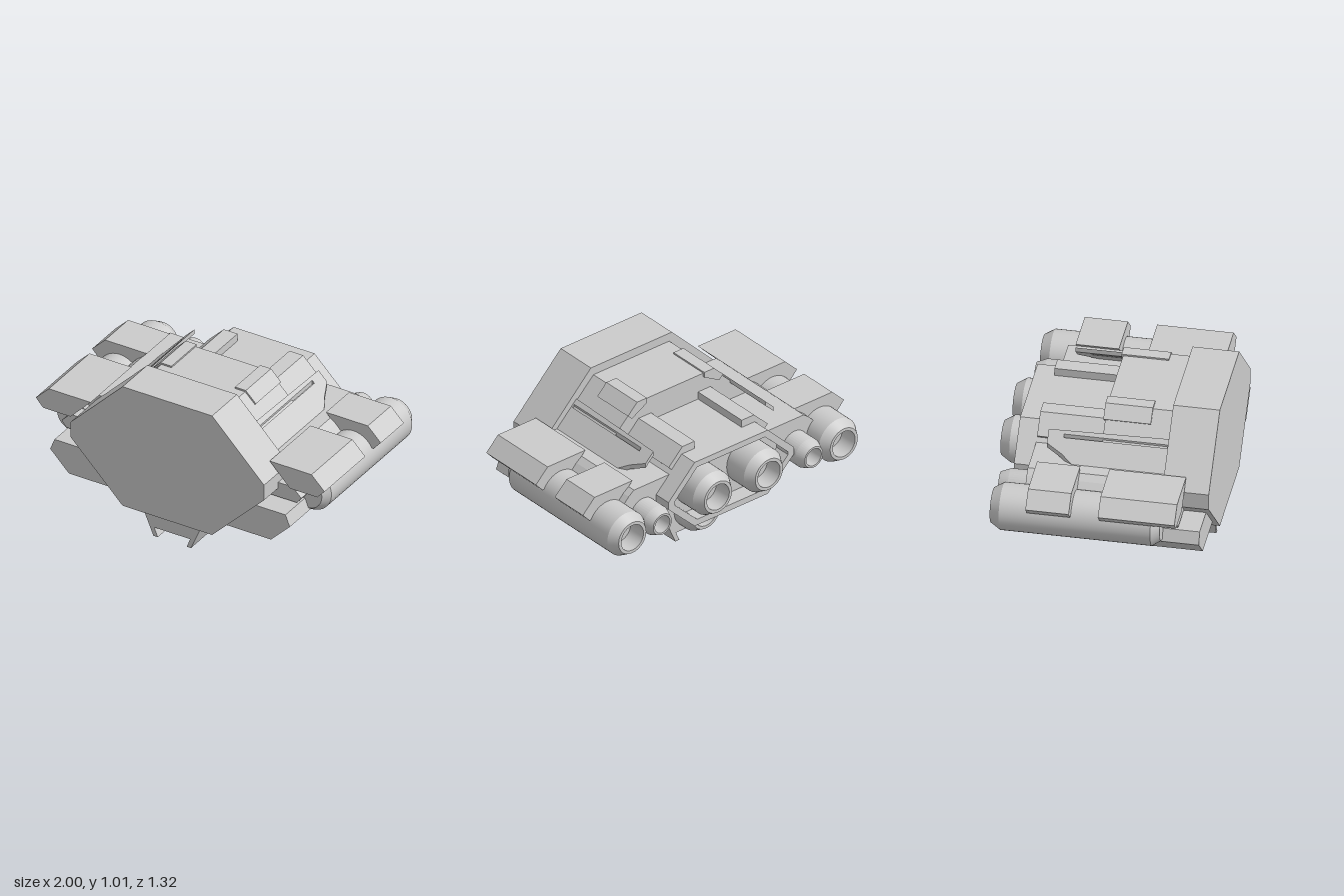
import * as THREE from 'three';
import { toCreasedNormals } from 'three/addons/utils/BufferGeometryUtils.js';

const material = new THREE.MeshStandardMaterial({ color: 0xcccccc, side: THREE.DoubleSide });

export function createModel() {
  const model = new THREE.Group();
  const add = (name, geometry) => {
    const mesh = new THREE.Mesh(geometry, material);
    mesh.name = name;
    model.add(mesh);
    return mesh;
  };
  const toShape = (points) => new THREE.Shape(points.map(([x, y]) => new THREE.Vector2(x, y)));

  // Front-view outline extended along z
  const prism = (name, points, z0, z1, hole) => {
    const shape = toShape(points);
    if (hole) shape.holes.push(toShape(hole));
    const geometry = new THREE.ExtrudeGeometry(shape, { depth: z1 - z0, bevelEnabled: false });
    return add(name, geometry.translate(0, 0, z0));
  };
  const flip = (points) => points.map(([x, y]) => [-x, y]);
  const pair = (name, points, z0, z1) => {
    prism('left' + name, points, z0, z1);
    prism('right' + name, flip(points), z0, z1);
  };

  // Symmetric octagon: half widths of flat and waist, four heights
  const octagon = (flat, waist, top, shoulder, hip, bottom) => [
    [-flat, bottom], [flat, bottom], [waist, hip], [waist, shoulder],
    [flat, top], [-flat, top], [-waist, shoulder], [-waist, hip],
  ];

  // Hull sections, the last one a hollow rim around the main engines
  prism('bowSlab', octagon(0.31, 0.67, 1.01, 0.645, 0.54, 0.18), 0.38, 0.66);
  prism('midHull', octagon(0.29, 0.62, 0.955, 0.63, 0.555, 0.23), -0.02, 0.38);
  const rear = octagon(0.28, 0.48, 0.79, 0.59, 0.54, 0.345);
  prism('rearHull', rear, -0.44, -0.02);
  prism('rearRim', rear, -0.545, -0.44, octagon(0.26, 0.435, 0.75, 0.575, 0.555, 0.385));

  // Raised bars wrapped over the hull corners
  pair('MidBar', [[0.22, 0.93], [0.22, 0.965], [0.295, 0.965], [0.365, 0.895], [0.335, 0.865]], -0.03, 0.255);
  pair('RearBar', [[0.18, 0.77], [0.18, 0.84], [0.275, 0.84], [0.38, 0.735], [0.335, 0.69]], -0.425, -0.02);

  // Wings that carry the side engines
  pair('Wing', [[0.3, 0.52], [0.3, 0.69], [0.65, 0.69], [0.69, 0.66], [0.745, 0.6], [0.745, 0.52]], -0.43, 0.38);

  // Armour pads over the outer engines
  const pad = [[0.62, 0.72], [0.91, 0.72], [1, 0.63], [0.95, 0.575], [0.76, 0.575]];
  pair('FrontPad', pad, 0.055, 0.515);
  pair('RearPad', pad, -0.38, -0.12);

  // Lower forward pods with the blocks above them
  pair('Pod', [[0.3, 0.26], [0.7, 0.26], [0.83, 0.39], [0.8, 0.465], [0.3, 0.465]], 0.12, 0.63);
  pair('PodBlock', [[0.5, 0.48], [0.8, 0.48], [0.83, 0.52], [0.77, 0.58], [0.5, 0.58]], 0.12, 0.5);

  // Keel with two thin runners
  prism('keel', [
    [-0.25, 0.28], [-0.13, 0], [-0.1, 0], [-0.125, 0.06],
    [0.125, 0.06], [0.1, 0], [0.13, 0], [0.25, 0.28],
  ], -0.185, 0.605);

  // Slotted plates lying on the 45 degree hull sides (outline as x, -z)
  const plate = [[0.42, -0.38], [0.6, -0.38], [0.6, 0.13], [0.53, 0.25], [0.49, 0.345], [0.43, 0.345]];
  const slot = [[0.445, -0.37], [0.46, -0.37], [0.46, 0.25], [0.445, 0.25]];
  for (const side of [1, -1]) {
    const mirror = (p) => (side > 0 ? p : flip(p));
    const shape = toShape(mirror(plate));
    shape.holes.push(toShape(mirror(slot)));
    const geometry = new THREE.ExtrudeGeometry(shape, { depth: 0.03, bevelEnabled: false });
    geometry.rotateX(-Math.PI / 2);
    const pos = geometry.attributes.position;
    for (let i = 0; i < pos.count; i++) pos.setY(i, pos.getY(i) + 1.23 - Math.abs(pos.getX(i)));
    geometry.computeVertexNormals();
    add(side > 0 ? 'leftSidePlate' : 'rightSidePlate', geometry);
  }

  // Engine: chamfered tube with an open nozzle at the back
  const engine = (name, x, y, r, front, back) => {
    const length = front - back;
    const profile = [
      [0, 0], [r * 0.75, 0], [r, 0.05], [r, length - 0.06], [r * 0.74, length],
      [r * 0.6, length], [r * 0.6, length - 0.12], [0, length - 0.12],
    ].map(([px, py]) => new THREE.Vector2(px, py));
    const geometry = new THREE.LatheGeometry(profile, 40).rotateX(-Math.PI / 2);
    add(name, toCreasedNormals(geometry.translate(x, y, front), 0.4));
  };
  for (const [label, s] of [['left', 1], ['right', -1]]) {
    engine(label + 'OuterEngine', s * 0.81, 0.51, 0.143, 0.41, -0.61);
    engine(label + 'InnerEngine', s * 0.58, 0.51, 0.095, 0.36, -0.61);
    engine(label + 'MainEngine', s * 0.195, 0.57, 0.143, -0.3, -0.66);
  }
  engine('keelEngine', 0, 0.208, 0.14, 0.1, -0.315);

  return model;
}
